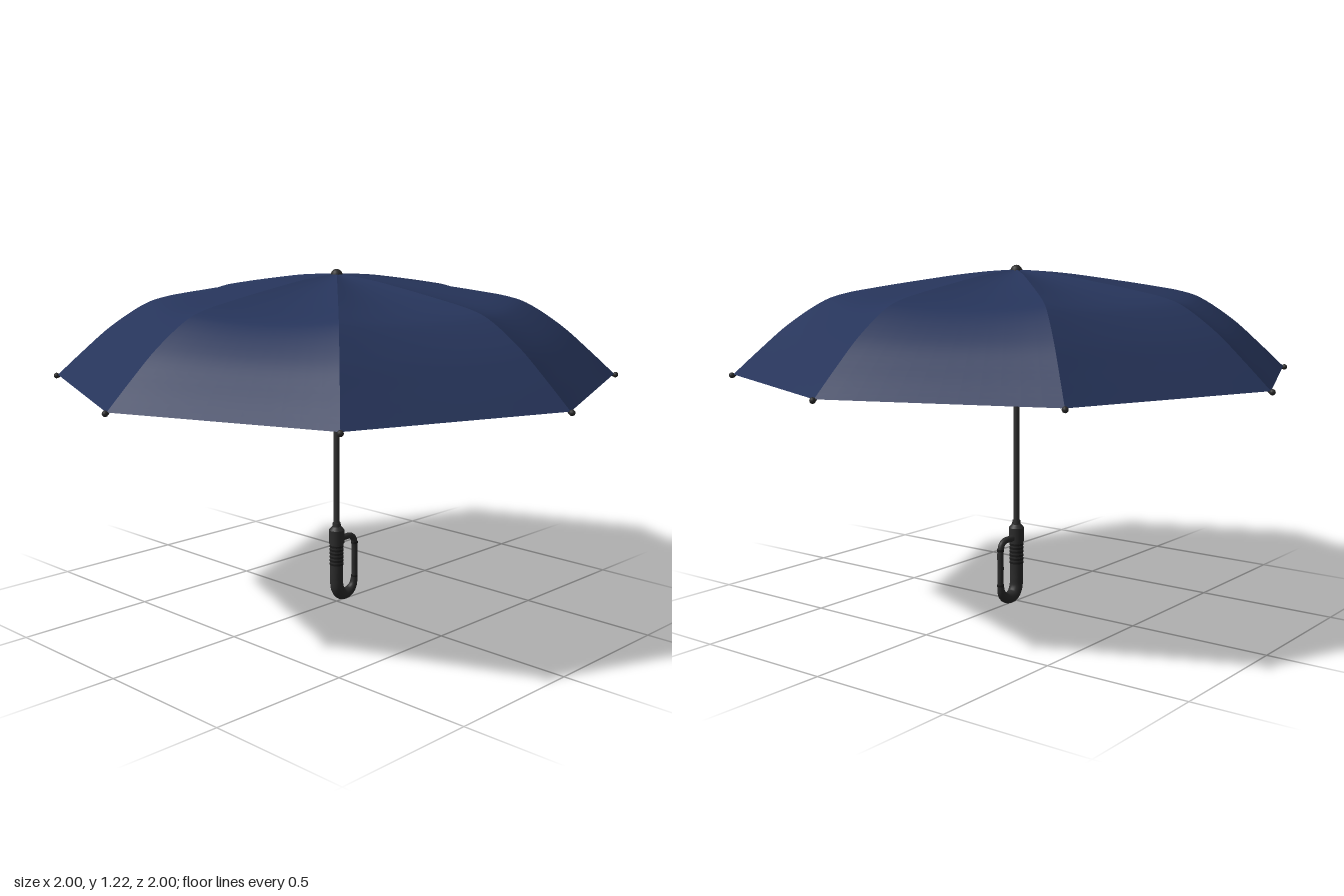
import * as THREE from 'three';

const V = (x, y, z) => new THREE.Vector3(x, y, z);
const mat = (name, color, side = THREE.FrontSide) => {
  const m = new THREE.MeshStandardMaterial({ color, side });
  m.name = name;
  return m;
};

export function createModel() {
  const fabric = mat('navy fabric', 0x26345a, THREE.DoubleSide);
  const black = mat('black plastic', 0x2b2b2b);
  const frame = mat('dark frame', 0x191919);
  const metal = mat('shaft grey', 0x333333);

  const model = new THREE.Group();
  model.name = 'umbrella';
  const add = (parent, name, geo, material, x = 0, y = 0, z = 0) => {
    const mesh = new THREE.Mesh(geo, material);
    mesh.name = name;
    mesh.position.set(x, y, z);
    parent.add(mesh);
    return mesh;
  };
  const tube = (pts, r, seg = 24) =>
    new THREE.TubeGeometry(new THREE.CatmullRomCurve3(pts), seg, r, 8, false);
  const cyl = (r1, r2, y0, y1, n = 24) =>
    new THREE.CylinderGeometry(r1, r2, y1 - y0, n).translate(0, (y0 + y1) / 2, 0);

  // Rib profile: x is the distance from the shaft
  const profile = [[0, 1.2], [0.16, 1.188], [0.33, 1.165], [0.48, 1.142], [0.6, 1.12],
    [0.665, 1.098], [0.79, 1.018], [0.89, 0.932], [0.985, 0.845]].map(([r, y]) => V(r, y, 0));
  const ribCurve = new THREE.CatmullRomCurve3(profile);

  // One of eight panels: straight across between two ribs, with a slight sag
  const N = 8, half = Math.PI / N, U = 12, R = 40;
  const panelGeometry = () => {
    const pos = [], idx = [];
    for (let j = 0; j <= R; j++) {
      const p = ribCurve.getPoint(j / R);
      const sag = 0.018 * Math.sin(Math.PI * Math.min(1, p.x / 0.985));
      for (let i = 0; i <= U; i++) {
        const t = (i / U) * 2 - 1;
        pos.push(p.x * Math.cos(half), p.y - sag * (1 - t * t), -p.x * Math.sin(half) * t);
        if (j < R && i < U) {
          const a = j * (U + 1) + i, b = a + U + 1;
          if (j > 0) idx.push(a, b, a + 1);
          idx.push(a + 1, b, b + 1);
        }
      }
    }
    const g = new THREE.BufferGeometry();
    g.setAttribute('position', new THREE.Float32BufferAttribute(pos, 3));
    g.setIndex(idx);
    g.computeVertexNormals();
    return g;
  };
  const panel = panelGeometry();
  const canopy = new THREE.Group();
  canopy.name = 'canopy';
  model.add(canopy);

  // Ribs follow the underside; stretchers run from the runner to the knuckles
  const ribGeo = tube(profile.map((p) => V(p.x, p.y - 0.008, 0)), 0.004, 36);
  const stretcherGeo = tube([V(0.02, 1.04, 0), V(0.34, 1.068, 0), V(0.66, 1.092, 0)], 0.004, 6);
  const tipGeo = new THREE.SphereGeometry(0.01, 12, 8);
  const jointGeo = new THREE.SphereGeometry(0.007, 10, 8);
  for (let i = 0; i < N; i++) {
    const a = i * 2 * half;
    add(canopy, 'panel', panel, fabric).rotation.y = a + half;
    const arm = new THREE.Group();
    arm.name = 'ribArm';
    arm.rotation.y = a;
    add(arm, 'rib', ribGeo, frame);
    add(arm, 'stretcher', stretcherGeo, frame);
    add(arm, 'ribJoint', jointGeo, frame, 0.66, 1.09, 0);
    add(arm, 'ribTip', tipGeo, black, 0.99, 0.842, 0);
    model.add(arm);
  }

  // Top cap, hub, runner and shaft
  const cap = [[0, 1.216], [0.009, 1.214], [0.017, 1.207], [0.021, 1.198], [0.021, 1.19], [0, 1.188]];
  add(model, 'topCap', new THREE.LatheGeometry(cap.map(([x, y]) => new THREE.Vector2(x, y)).reverse(), 24), black);
  add(model, 'topHub', cyl(0.018, 0.018, 1.165, 1.188), black);
  add(model, 'shaftLower', cyl(0.011, 0.011, 0.26, 0.72), metal);
  add(model, 'shaftUpper', cyl(0.0095, 0.0095, 0.72, 1.19), metal);
  add(model, 'runner', cyl(0.016, 0.016, 0.985, 1.055), black);
  add(model, 'runnerRing', cyl(0.023, 0.023, 1.025, 1.05), black);

  // Handle: a closed loop, thick at the grip and thin at the clip
  const handle = new THREE.Group();
  handle.name = 'handle';
  model.add(handle);
  const loop = new THREE.CatmullRomCurve3([
    V(0, 0.24, 0), V(0, 0.16, 0), V(0, 0.09, 0), V(0, 0.052, -0.003), V(0, 0.028, -0.018),
    V(0, 0.02, -0.04), V(0, 0.024, -0.066), V(0, 0.042, -0.086), V(0, 0.075, -0.094),
    V(0, 0.14, -0.094), V(0, 0.2, -0.094), V(0, 0.224, -0.087), V(0, 0.235, -0.07),
    V(0, 0.236, -0.04), V(0, 0.236, -0.01)]);
  const loopGeo = new THREE.TubeGeometry(loop, 90, 1, 18, false);
  const p = loopGeo.attributes.position, uv = loopGeo.attributes.uv, v = V(0, 0, 0);
  for (let i = 0; i < p.count; i++) {
    const t = uv.getX(i), c = loop.getPointAt(t);
    const r = THREE.MathUtils.lerp(0.024, 0.0115, THREE.MathUtils.smoothstep(t, 0.36, 0.62));
    v.fromBufferAttribute(p, i).sub(c).multiplyScalar(r).add(c);
    p.setXYZ(i, v.x, v.y, v.z);
  }
  add(handle, 'gripLoop', loopGeo, black);
  add(handle, 'collar', cyl(0.028, 0.028, 0.222, 0.272), black);
  add(handle, 'collarTop', cyl(0.017, 0.028, 0.272, 0.285), black);
  add(handle, 'shaftSocket', cyl(0.014, 0.016, 0.285, 0.3), black);
  for (let i = 0; i < 6; i++)
    add(handle, 'gripRidge', cyl(0.0255, 0.0255, 0.14 + i * 0.0135, 0.147 + i * 0.0135), frame);
  for (const y of [0.075, 0.205])
    add(handle, 'clipJoint', cyl(0.0125, 0.0125, y - 0.004, y + 0.004, 16), frame, 0, 0, -0.094);

  return model;
}
